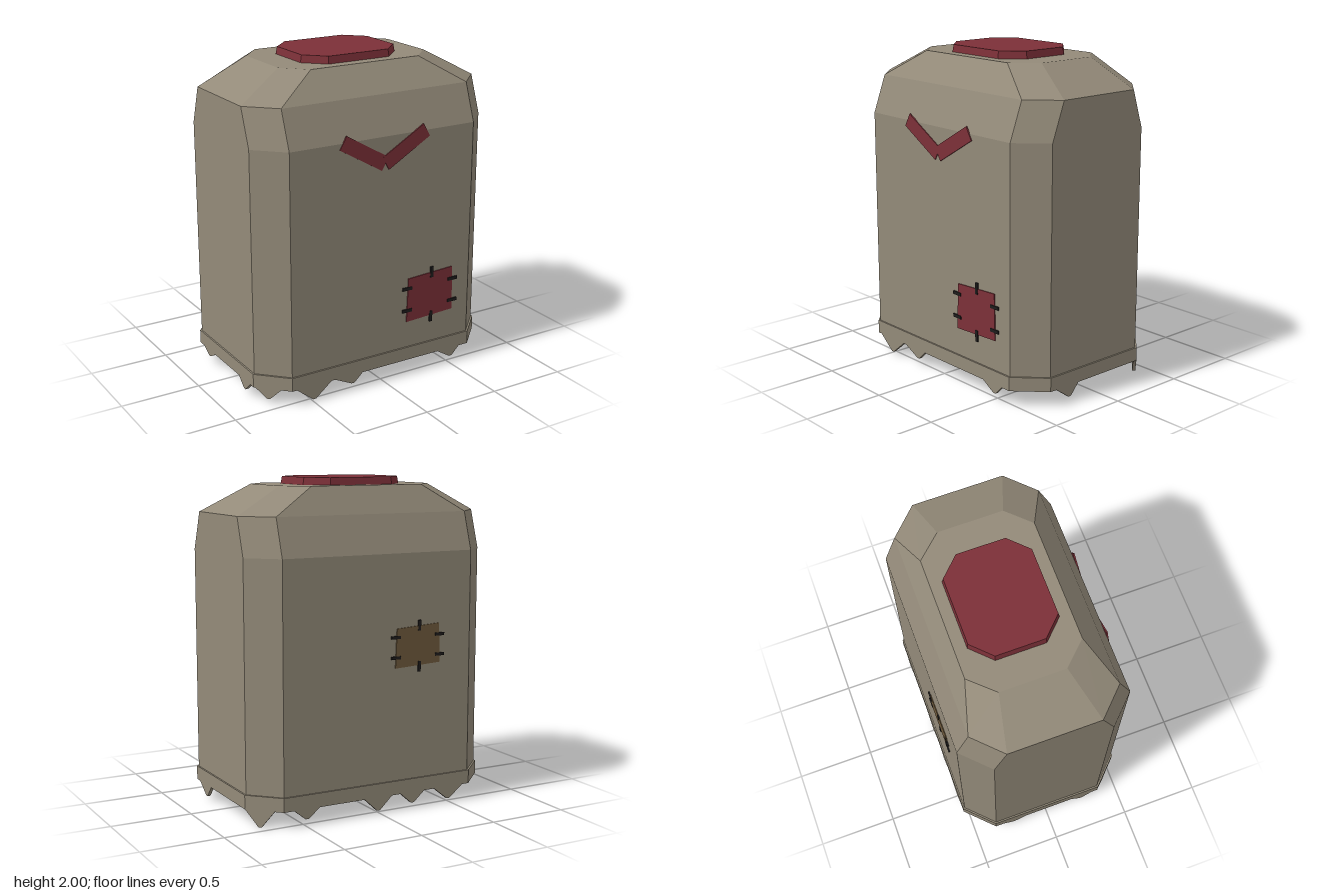
import * as THREE from 'three';

const mat = (name, color) => {
  const m = new THREE.MeshStandardMaterial({ color, flatShading: true });
  m.name = name;
  return m;
};

// Chamfered rectangle ring: half width, chamfer x, front z / chamfer z, back z / chamfer z
const ring = (y, hx, cx, zf, czf, zb, czb) =>
  [[cx, zf], [hx, czf], [hx, czb], [cx, zb], [-cx, zb], [-hx, czb], [-hx, czf], [-cx, zf]]
    .map(([x, z]) => [x, y, z]);

// Closed loft through rings listed from bottom to top
function loft(rings) {
  const pos = [];
  const tri = (a, b, c) => pos.push(...a, ...b, ...c);
  const n = rings[0].length;
  for (let r = 0; r < rings.length - 1; r++) {
    for (let i = 0; i < n; i++) {
      const j = (i + 1) % n, lo = rings[r], hi = rings[r + 1];
      tri(lo[i], lo[j], hi[j]);
      tri(lo[i], hi[j], hi[i]);
    }
  }
  const bottom = rings[0], top = rings[rings.length - 1];
  for (let i = 1; i < n - 1; i++) {
    tri(bottom[0], bottom[i + 1], bottom[i]);
    tri(top[0], top[i], top[i + 1]);
  }
  const g = new THREE.BufferGeometry();
  g.setAttribute('position', new THREE.Float32BufferAttribute(pos, 3));
  g.computeVertexNormals();
  return g;
}

// Thin plate from a 2D outline
const plate = (points, depth) => new THREE.ExtrudeGeometry(
  new THREE.Shape(points.map(([x, y]) => new THREE.Vector2(x, y))), { depth, bevelEnabled: false });

export function createModel() {
  const model = new THREE.Group();
  const cloth = mat('drab cloth', 0x938a79);
  const red = mat('dark red cloth', 0x7c3038);
  const brown = mat('brown cloth', 0x6f5a3c);
  const thread = mat('black thread', 0x1f1d1d);

  const add = (parent, name, geometry, material, x = 0, y = 0, z = 0) => {
    const mesh = new THREE.Mesh(geometry, material);
    mesh.name = name;
    mesh.position.set(x, y, z);
    parent.add(mesh);
    return mesh;
  };

  // Body with sloping shoulders
  add(model, 'body', loft([
    ring(0.11, 0.8, 0.635, 0.525, 0.36, -0.525, -0.36),
    ring(1.56, 0.8, 0.635, 0.525, 0.36, -0.525, -0.36),
    ring(1.79, 0.8, 0.635, 0.44, 0.275, -0.45, -0.285),
    ring(1.955, 0.505, 0.37, 0.31, 0.17, -0.37, -0.225),
  ]), cloth);

  // Hem band
  add(model, 'hem', loft([0.1, 0.185].map(
    y => ring(y, 0.81, 0.64, 0.535, 0.365, -0.535, -0.365))), cloth);

  // Collar plate on top
  add(model, 'collar', loft([
    ring(1.945, 0.33, 0.21, 0.24, 0.12, -0.3, -0.18),
    ring(2.0, 0.32, 0.205, 0.232, 0.117, -0.292, -0.177),
  ]), red);

  // Torn teeth below the hem: x, z, facing angle, width, tip height, tip offset
  const q = Math.PI / 4;
  const teeth = [
    [-0.49, 0.535, 0, 0.25, 0.012, 0],
    [-0.25, 0.535, 0, 0.21, 0.045, 0.03],
    [0.49, 0.535, 0, 0.18, 0.045, 0.02],
    [0.01, -0.535, 4 * q, 0.2, 0.02, 0],
    [-0.23, -0.535, 4 * q, 0.18, 0.035, 0],
    [-0.49, -0.535, 4 * q, 0.22, 0.025, 0],
    [0.49, -0.535, 4 * q, 0.18, 0.04, 0],
    [0.81, 0.23, 2 * q, 0.19, 0.03, 0.02],
    [-0.81, 0.25, -2 * q, 0.16, 0.04, 0],
    [-0.81, -0.23, -2 * q, 0.18, 0.06, 0],
    [-0.745, 0.43, -q, 0.17, 0.035, 0],
    [0.745, -0.43, 3 * q, 0.19, 0, 0],
  ];
  const tatters = new THREE.Group();
  tatters.name = 'tornEdge';
  model.add(tatters);
  for (const [x, z, angle, w, tip, skew] of teeth) {
    const g = plate([[-w / 2, 0.105], [skew - 0.01, tip], [skew + 0.01, tip], [w / 2, 0.105]], 0.02);
    g.translate(0, 0, -0.02);
    add(tatters, 'tornTooth', g, cloth, x, 0, z).rotation.y = angle;
  }

  // Chevron on the chest, mirrored arms
  for (const s of [-1, 1]) {
    add(model, 'chevronArm', new THREE.BoxGeometry(0.33, 0.09, 0.009), red,
      s * 0.145, 1.48, 0.5265 + s * 0.0005).rotation.z = s * Math.PI / 6;
  }

  // Sewn patch with six stitches, built facing +z around its centre
  const patch = (name, w, h, material, k) => {
    const g = new THREE.Group();
    g.name = name;
    add(g, 'patchCloth', plate([[-w / 2 - 0.005, -h / 2], [w / 2 + 0.005, -h / 2 + 0.015],
      [w / 2, h / 2 + 0.005], [-w / 2 + 0.005, h / 2 - 0.012]], 0.006), material);
    for (const s of [-1, 1]) {
      add(g, 'stitch', new THREE.BoxGeometry(0.02 * k, 0.07 * k, 0.009), thread, 0.01, s * h / 2, 0.006);
      for (const t of [-1, 1]) {
        add(g, 'stitch', new THREE.BoxGeometry(0.07 * k, 0.02 * k, 0.009), thread,
          s * (w / 2 + 0.003), t * h * 0.245, 0.006);
      }
    }
    model.add(g);
    return g;
  };
  patch('frontPatch', 0.332, 0.295, red, 1).position.set(0.34, 0.503, 0.525);
  const back = patch('backPatch', 0.3, 0.25, brown, 0.9);
  back.position.set(-0.26, 1.0, -0.525);
  back.rotation.y = Math.PI;

  return model;
}
